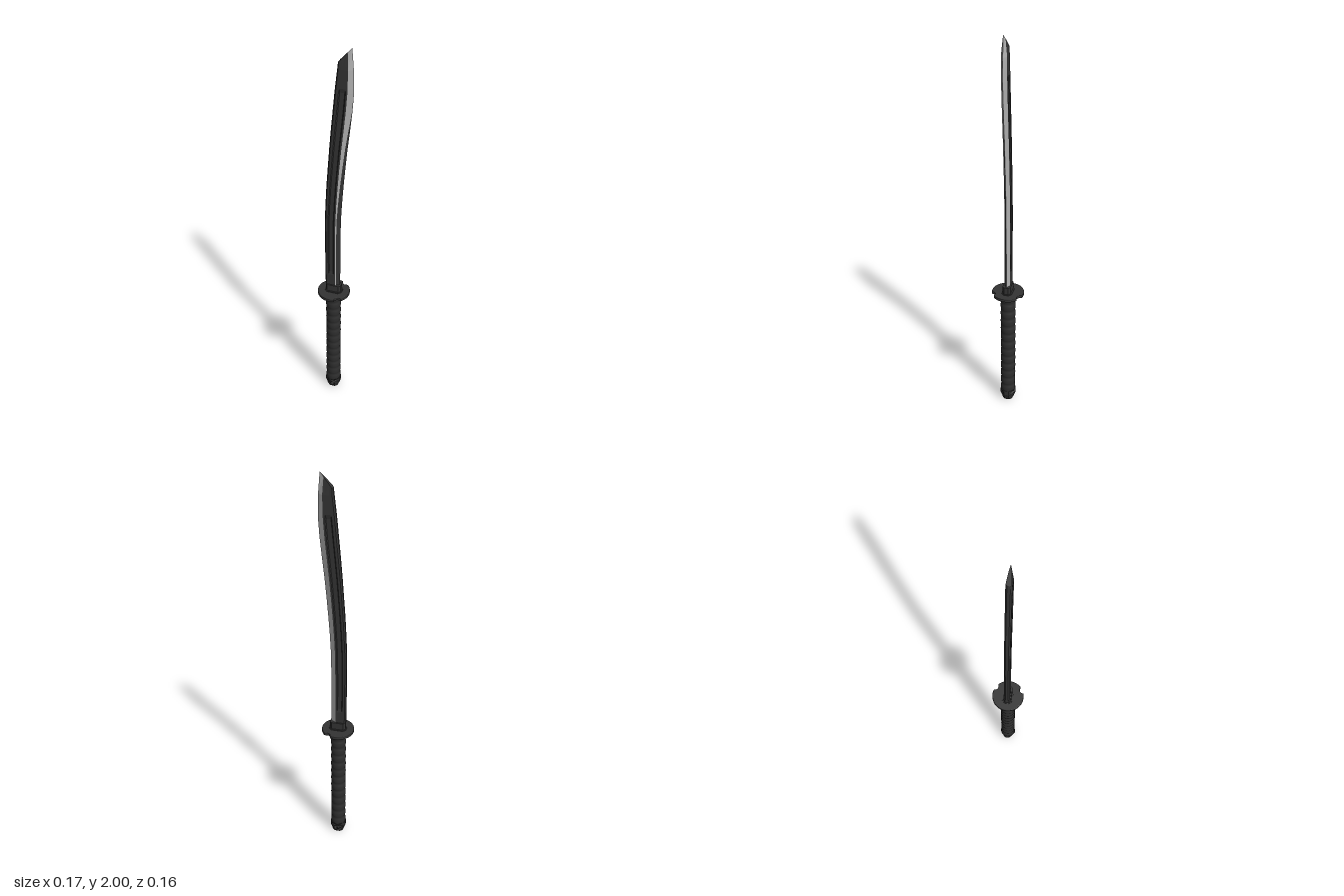
import * as THREE from 'three';

const lerp = THREE.MathUtils.lerp;
const AXIS = -0.01; // x of the grip's centre line
const HALF = 0.014; // half thickness of the blade

// Blade stations: y at spine, y at edge, spine x, edge x, groove depth, silver share of the front bevel
const STATIONS = [
  [0.66, 0.66, -0.047, 0.025, 0, 0.15],
  [0.77, 0.77, -0.049, 0.025, 0, 0.15],
  [0.79, 0.79, -0.049, 0.025, 0.004, 0.15],
  [0.95, 0.95, -0.05, 0.025, 0.004, 0.18],
  [1.1, 1.1, -0.05, 0.027, 0.004, 0.22],
  [1.2, 1.2, -0.046, 0.032, 0.004, 0.3],
  [1.3, 1.3, -0.041, 0.039, 0.004, 0.4],
  [1.4, 1.4, -0.034, 0.047, 0.004, 0.5],
  [1.5, 1.5, -0.027, 0.056, 0.004, 0.6],
  [1.6, 1.6, -0.019, 0.067, 0.004, 0.75],
  [1.7, 1.7, -0.01, 0.077, 0.004, 0.95],
  [1.79, 1.79, -0.002, 0.083, 0.004, 1],
  [1.81, 1.81, 0, 0.083, 0, 1],
  [1.9, 1.9, 0.01, 0.081, 0, 1],
  [1.93, 2.0, 0.013, 0.073, 0, 1],
];

const BEVEL = 0.7;
// Half section from bevel to spine: position across the width, share of thickness, in groove
const CHEEK = [[BEVEL, 1, 0], [0.6, 1, 0], [0.55, 1, 1], [0.28, 1, 1], [0.23, 1, 0], [0.08, 1, 0], [0, 0.5, 0]];

function bladePoint(station, t, z) {
  const [ys, ye, xs, xe] = station;
  const thin = ye > ys ? 1 - 0.85 * t : 1;
  return [lerp(xs, xe, t), lerp(ys, ye, t), z * thin];
}

// Skin between open rows of points stacked upward
function skin(rows) {
  const out = [];
  for (let i = 0; i + 1 < rows.length; i++) {
    for (let j = 0; j + 1 < rows[i].length; j++) {
      const a = rows[i][j], b = rows[i][j + 1], c = rows[i + 1][j], d = rows[i + 1][j + 1];
      out.push(...a, ...c, ...b, ...b, ...c, ...d);
    }
  }
  return fromTriangles(out);
}

function fromTriangles(list) {
  const g = new THREE.BufferGeometry();
  g.setAttribute('position', new THREE.Float32BufferAttribute(list, 3));
  g.computeVertexNormals();
  return g;
}

function cheekPoints(s) {
  const side = (sign) => CHEEK.map(([t, k, inGroove]) =>
    bladePoint(s, t, sign * (HALF * k - inGroove * s[4])));
  return [...side(1), ...side(-1).reverse()];
}

export function createModel() {
  const model = new THREE.Group();
  const mat = (name, color) => {
    const m = new THREE.MeshStandardMaterial({ color });
    m.name = name;
    return m;
  };
  const steel = mat('dark steel', 0x343434);
  const silver = mat('polished silver', 0xb0b0b0);
  const grip = mat('black grip', 0x2e2e2e);
  const add = (name, geometry, material, x = 0, y = 0, z = 0) => {
    const m = new THREE.Mesh(geometry, material);
    m.name = name;
    m.position.set(x, y, z);
    model.add(m);
    return m;
  };

  // Blade body: cheeks, grooves and spine
  add('bladeBody', skin(STATIONS.map(cheekPoints)), steel);

  // Sharpened bevels
  const splitAt = (s) => lerp(BEVEL, 1, s[5]);
  const bevelZ = (t) => HALF * (1 - t) / (1 - BEVEL);
  const frontPoint = (s, t) => bladePoint(s, t, bevelZ(t));
  add('frontBevelDark', skin(STATIONS.map((s) => [frontPoint(s, 1), frontPoint(s, splitAt(s))])), steel);
  add('frontBevelSilver', skin(STATIONS.map((s) => [frontPoint(s, splitAt(s)), frontPoint(s, BEVEL)])), silver);
  add('backBevel', skin(STATIONS.map((s) => [bladePoint(s, BEVEL, -HALF), bladePoint(s, 1, 0)])), silver);

  // Slanted end face of the tip
  const last = STATIONS[STATIONS.length - 1];
  const rim = cheekPoints(last), apex = bladePoint(last, 1, 0), cap = [];
  for (let i = 0; i + 1 < rim.length; i++) cap.push(...apex, ...rim[i + 1], ...rim[i]);
  const capMesh = add('bladeTip', fromTriangles(cap), steel.clone());
  capMesh.material = steel;
  steel.side = THREE.DoubleSide;

  // Octagonal plates stacked along y
  const octagonPlate = (w, d, cut, h) => {
    const pts = [[w - cut, -d], [w, -d + cut], [w, d - cut], [w - cut, d],
      [cut - w, d], [-w, d - cut], [-w, cut - d], [cut - w, -d]];
    const g = new THREE.ExtrudeGeometry(new THREE.Shape(pts.map((p) => new THREE.Vector2(...p))),
      { depth: h, bevelEnabled: false });
    return g.rotateX(-Math.PI / 2);
  };
  add('bladeCollar', octagonPlate(0.039, 0.02, 0.01, 0.045), steel, -0.008, 0.662);
  add('collarWasher', octagonPlate(0.043, 0.026, 0.014, 0.008), steel, -0.008, 0.662);

  // Round guard with two scalloped notches toward the edge side
  const outline = [];
  for (let i = 0; i < 72; i++) {
    const a = (i / 72) * Math.PI * 2;
    const off = Math.abs(Math.abs(a > Math.PI ? a - 2 * Math.PI : a) - 1.06);
    const r = off < 0.24 ? 0.077 - 0.014 * Math.sqrt(1 - (off / 0.24) ** 2) : 0.077;
    outline.push(new THREE.Vector2(Math.cos(a) * r, Math.sin(a) * r));
  }
  const guard = new THREE.ExtrudeGeometry(new THREE.Shape(outline),
    { depth: 0.008, bevelThickness: 0.004, bevelSize: 0.003, bevelSegments: 2 });
  add('guard', guard.rotateX(-Math.PI / 2), steel, -0.008, 0.654);

  // Ribbed grip
  const profile = [new THREE.Vector2(0, 0.05)];
  const ribs = 13, low = 0.05, high = 0.65;
  for (let i = 0; i <= ribs * 6; i++) {
    const bulge = Math.sqrt(Math.abs(Math.sin((i / 6) * Math.PI)));
    profile.push(new THREE.Vector2(0.0335 + 0.004 * bulge, lerp(low, high, i / (ribs * 6))));
  }
  profile.push(new THREE.Vector2(0, high));
  add('grip', new THREE.LatheGeometry(profile, 28), grip, AXIS);

  // Tapered pommel with a cord hole through it, rounded by moving its faces onto a cone
  const shape = new THREE.Shape([[-0.026, 0], [-0.013, 0], [0.013, 0], [0.026, 0], [0.039, 0.036],
    [0.038, 0.06], [0.018, 0.06], [-0.018, 0.06], [-0.038, 0.06], [-0.039, 0.036]]
    .map((p) => new THREE.Vector2(...p)));
  const hole = new THREE.Path();
  hole.absellipse(0.006, 0.03, 0.011, 0.017, 0, Math.PI * 2, true);
  shape.holes.push(hole);
  const pommel = new THREE.ExtrudeGeometry(shape, { depth: 1, bevelEnabled: false, curveSegments: 6 });
  const p = pommel.attributes.position;
  for (let i = 0; i < p.count; i++) {
    const x = p.getX(i), r = Math.min(0.04, 0.027 + p.getY(i) * 0.36);
    const z = Math.max(0.012, Math.sqrt(Math.max(0, r * r - x * x)));
    p.setZ(i, p.getZ(i) > 0.5 ? z : -z);
  }
  pommel.computeVertexNormals();
  add('pommel', pommel, grip, AXIS);

  return model;
}
